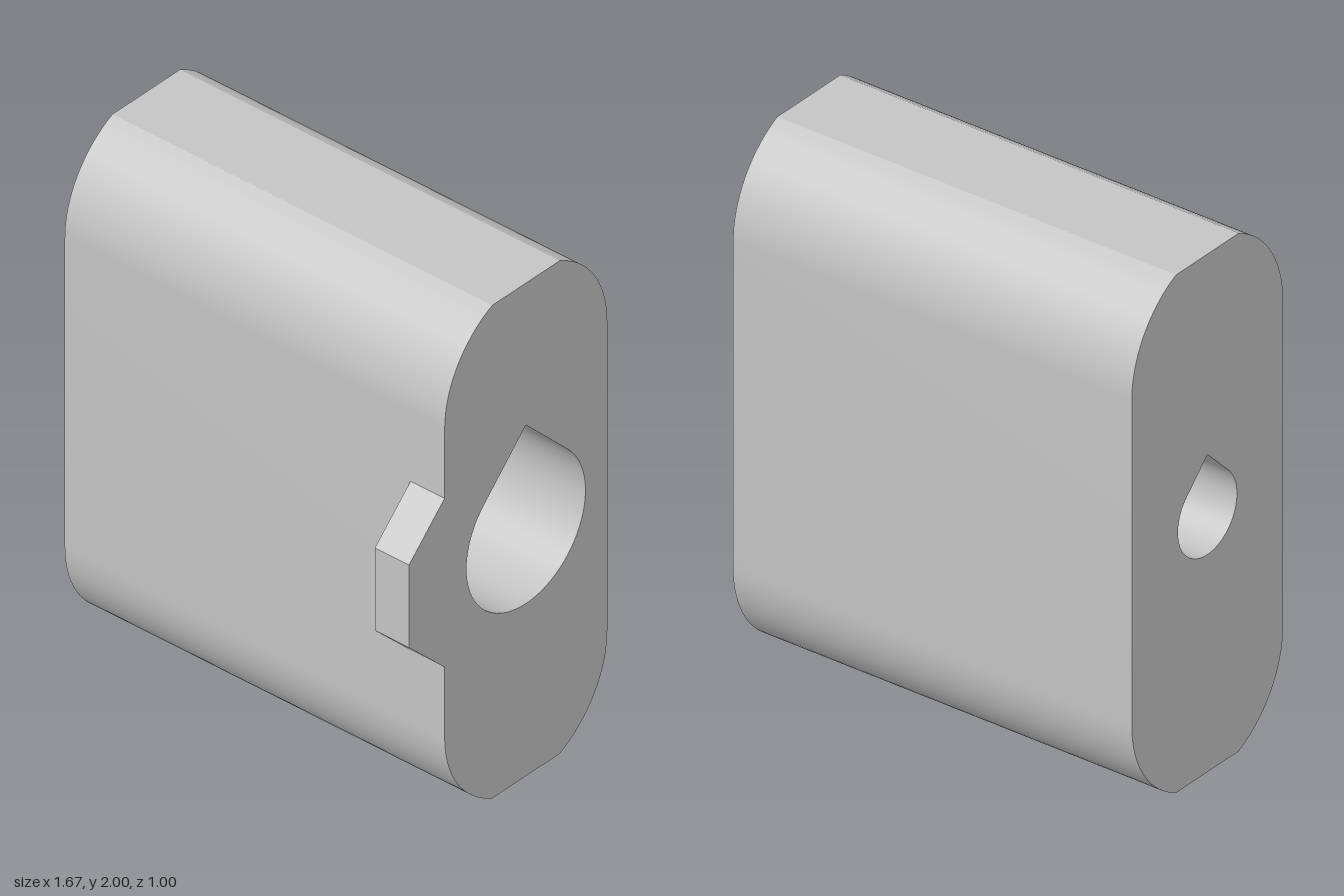
import * as THREE from 'three';
import { toCreasedNormals } from 'three/addons/utils/BufferGeometryUtils.js';

// Cross-sections are drawn as (u, y) with u = -z and placed along x.
const END = 0.835, CU = 0.09, CY = 1, BIG = 0.3, SMALL = 0.16;
const BORE_END = 0.15, TAPER_END = -0.5, STEPS = 72;

// Teardrop radius: a circle with a 90 degree roof
function tearRadius(a, r) {
  const d = Math.abs(a - Math.PI / 2);
  return d < Math.PI / 4 ? r / Math.cos(Math.PI / 4 - d) : r;
}

// Closed ring around the bore axis from a radius rule
function ring(radiusAt) {
  return Array.from({ length: STEPS }, (_, i) => {
    const a = (i / STEPS) * Math.PI * 2, r = radiusAt(a);
    return new THREE.Vector2(CU + r * Math.cos(a), CY + r * Math.sin(a));
  });
}
const tear = (r) => ring((a) => tearRadius(a, r));

// Skin between rings ordered along x; inward turns the faces to the axis
function loft(rings, inward) {
  const pos = [], idx = [], n = rings[0].pts.length;
  rings.forEach(({ x, pts }) => pts.forEach((p) => pos.push(x, p.y, -p.x)));
  for (let k = 0; k < rings.length - 1; k++) {
    for (let i = 0; i < n; i++) {
      const a = k * n + i, b = k * n + (i + 1) % n, c = a + n, d = b + n;
      if (inward) idx.push(a, d, b, a, c, d);
      else idx.push(a, b, d, a, d, c);
    }
  }
  const g = new THREE.BufferGeometry();
  g.setAttribute('position', new THREE.Float32BufferAttribute(pos, 3));
  g.setIndex(idx);
  return toCreasedNormals(g, 0.35);
}

// Body outline: rounded ends cut flat at top and bottom
function bodyOutline() {
  const pts = [], r = 0.41, flat = 0.17, n = 16;
  const rise = Math.sqrt(r * r - flat * flat), sweep = Math.acos(flat / r);
  const arc = (cy, from, to) => {
    for (let i = 0; i <= n; i++) {
      const a = from + (to - from) * i / n;
      pts.push(new THREE.Vector2(CU + r * Math.cos(a), cy + r * Math.sin(a)));
    }
  };
  arc(2 - rise, 0, sweep);
  arc(2 - rise, Math.PI - sweep, Math.PI);
  arc(rise, Math.PI, Math.PI + sweep);
  arc(rise, -sweep, 0);
  return pts;
}

export function createModel() {
  const group = new THREE.Group();
  const grey = new THREE.MeshStandardMaterial({ color: 0xc4c4c4 });
  grey.name = 'grey';
  const add = (name, geometry) => {
    const mesh = new THREE.Mesh(geometry, grey);
    mesh.name = name;
    group.add(mesh);
    return mesh;
  };

  // Outer wall
  const outline = bodyOutline();
  add('bodyWall', loft([{ x: -END, pts: outline }, { x: END, pts: outline }], false));

  // End faces with their openings
  const endFace = (name, x, r) => {
    const shape = new THREE.Shape(outline);
    shape.holes.push(new THREE.Path(tear(r)));
    const g = new THREE.ShapeGeometry(shape);
    if (x < 0) {
      // Reverse the corners so the face looks outward
      const ix = g.index.array;
      for (let i = 0; i < ix.length; i += 3) [ix[i], ix[i + 1]] = [ix[i + 1], ix[i]];
      g.computeVertexNormals();
    }
    g.rotateY(Math.PI / 2).translate(x, 0, 0);
    add(name, g);
  };
  endFace('leftEndFace', END, BIG);
  endFace('rightEndFace', -END, SMALL);

  // Wide bore, taper and narrow bore
  add('wideBore', loft([{ x: BORE_END, pts: tear(BIG) }, { x: END, pts: tear(BIG) }], true));
  const taper = [];
  for (let k = 0; k <= 16; k++) {
    const t = k / 16, cone = SMALL + (BIG - SMALL) * t;
    taper.push({
      x: TAPER_END + (BORE_END - TAPER_END) * t,
      pts: ring((a) => Math.max(cone, tearRadius(a, SMALL))),
    });
  }
  add('taperedBore', loft(taper, true));
  add('narrowBore', loft([{ x: -END, pts: tear(SMALL) }, { x: TAPER_END, pts: tear(SMALL) }], true));

  // Small ledge under the roof of the wide bore
  const ledge = new THREE.Shape();
  const q = BIG * Math.SQRT1_2;
  ledge.moveTo(CU + q, CY + q);
  ledge.lineTo(CU, CY + BIG * Math.SQRT2);
  ledge.lineTo(CU - q, CY + q);
  ledge.absarc(CU, CY, BIG, Math.PI * 0.75, Math.PI * 0.25, true);
  add('boreLedge', new THREE.ShapeGeometry(ledge, 18).rotateY(Math.PI / 2).translate(BORE_END, 0, 0));

  // Chamfered key on the front
  const key = new THREE.Shape([
    [-0.32, 0.66], [-0.32, 1.345], [-0.5, 1.17], [-0.5, 0.835],
  ].map(([u, y]) => new THREE.Vector2(u, y)));
  const keyGeometry = new THREE.ExtrudeGeometry(key, { depth: 0.15, bevelEnabled: false });
  add('key', keyGeometry.rotateY(Math.PI / 2).translate(END - 0.15, 0, 0));

  return group;
}
